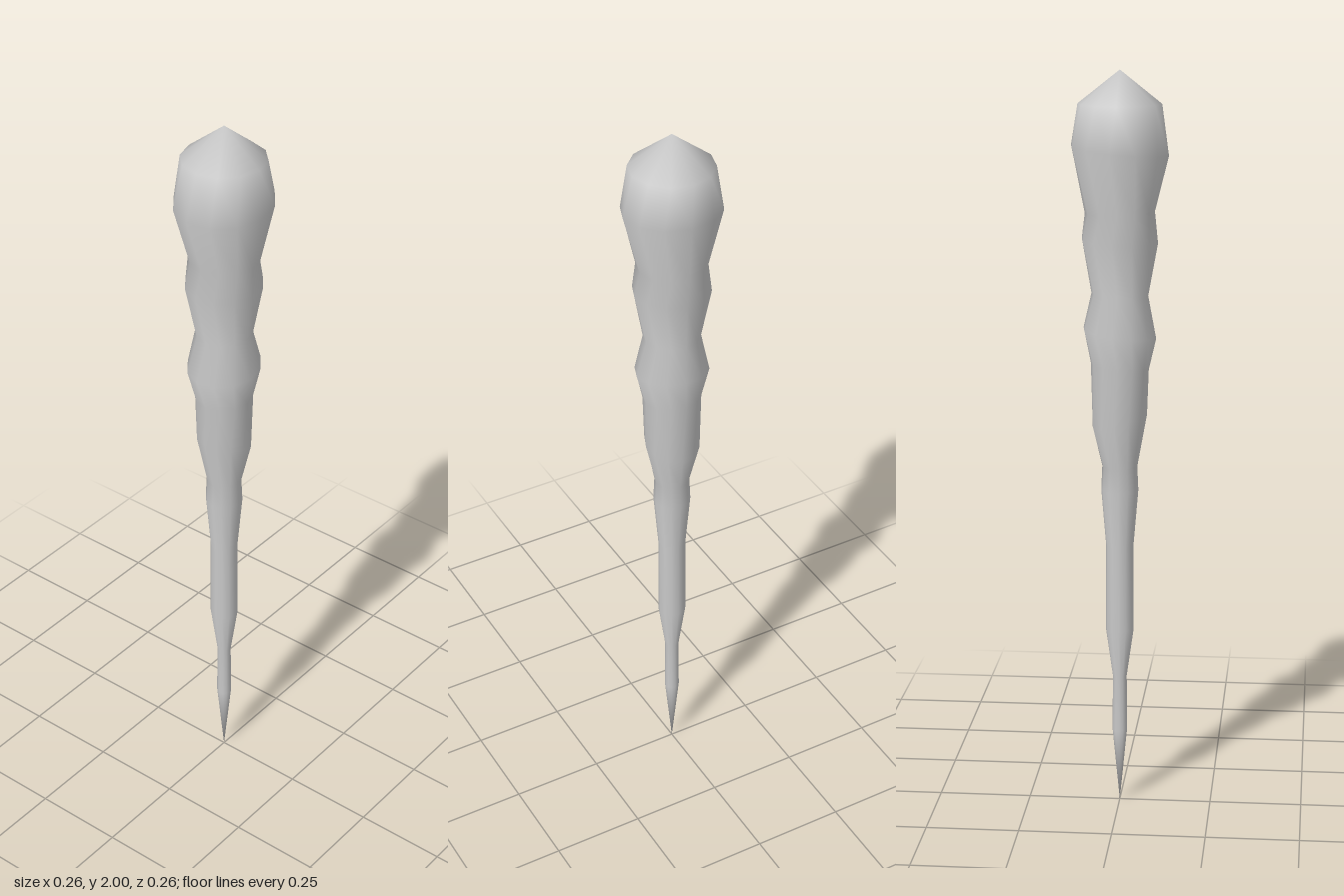
import * as THREE from 'three';
import { mergeVertices } from 'three/addons/utils/BufferGeometryUtils.js';

// Rings from the tip up: radius, height, sideways tilt (height gained at +x), twist in degrees
const RINGS = [
  [0, 0, 0, 0],
  [0.02, 0.205, 0, 0],
  [0.019, 0.36, 0, 0],
  [0.038, 0.495, 0, 0],
  [0.037, 0.73, 0, 0],
  [0.05, 0.885, 0, 0],
  [0.047, 0.95, 0, 0],
  [0.074, 1.075, -0.02, 7],
  [0.077, 1.222, 0.008, 0],
  [0.098, 1.312, 0.012, 7],
  [0.075, 1.415, 0.003, 0],
  [0.102, 1.557, 0.004, 7],
  [0.092, 1.632, -0.003, 0],
  [0.13, 1.793, 0.012, 7],
  [0.11, 1.913, 0, 0],
  [0, 2, 0, 0],
];

export function createModel() {
  const group = new THREE.Group();
  group.name = 'icicle';

  // Twelve-sided tapering body with uneven swellings
  let geometry = new THREE.LatheGeometry(RINGS.map(([r, y]) => new THREE.Vector2(r, y)), 12);
  const pos = geometry.attributes.position;
  for (let i = 0; i < pos.count; i++) {
    const [r, y, tilt, twist] = RINGS[i % RINGS.length];
    if (r === 0) continue;
    const a = Math.atan2(pos.getZ(i), pos.getX(i)) + THREE.MathUtils.degToRad(twist);
    pos.setXYZ(i, r * Math.cos(a), y + tilt * Math.cos(a), r * Math.sin(a));
  }

  // Weld the seam so the shading runs smoothly all round
  geometry.deleteAttribute('uv');
  geometry.deleteAttribute('normal');
  geometry = mergeVertices(geometry, 1e-5);
  geometry.computeVertexNormals();

  const body = new THREE.Mesh(geometry, new THREE.MeshStandardMaterial({ color: 0xcccccc }));
  body.name = 'icicleBody';
  group.add(body);
  return group;
}
